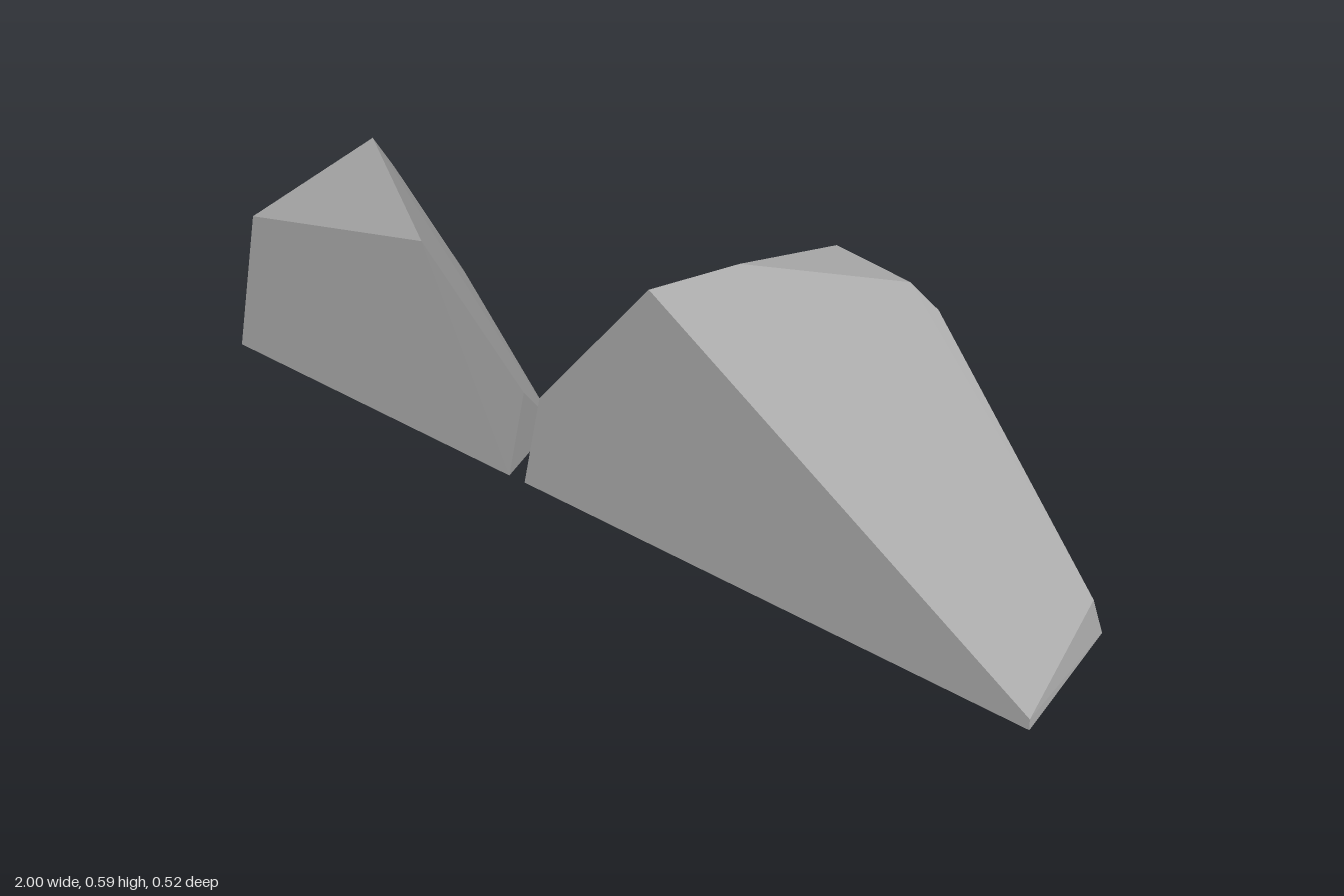
import * as THREE from 'three';
import { ConvexGeometry } from 'three/addons/geometries/ConvexGeometry.js';

const stone = new THREE.MeshStandardMaterial({ color: 0xa8a8a8 });
stone.name = 'grey stone';

// A faceted boulder: the hull around its corners
function boulder(name, corners) {
  const points = corners.map(([x, y, z]) => new THREE.Vector3(x, y, z));
  const mesh = new THREE.Mesh(new ConvexGeometry(points), stone);
  mesh.name = name;
  return mesh;
}

export function createModel() {
  const group = new THREE.Group();
  group.name = 'rocks';

  group.add(boulder('largeRock', [
    // footprint
    [-0.175, 0, 0.257], [-0.205, 0, 0.063], [-0.05, 0, -0.26],
    [0.68, 0, -0.26], [1, 0, -0.045], [1, 0, 0.257],
    // low corners
    [-0.14, 0.23, 0.237], [0.997, 0.025, 0.255], [0.98, 0.095, -0.022],
    // ridge
    [0.115, 0.59, 0.21], [0.2, 0.582, 0.032], [0.265, 0.51, -0.221],
    [0.435, 0.489, -0.222], [0.5, 0.447, -0.225],
  ]));

  group.add(boulder('smallRock', [
    // footprint
    [-1, 0, 0.258], [-0.215, 0, 0.258], [-0.245, 0, 0.067],
    [-0.77, 0, -0.257], [-1, 0, -0.257],
    // upper corners
    [-0.18, 0.226, 0.238], [-0.444, 0.484, 0.221], [-0.93, 0.362, 0.23],
    [-0.928, 0.371, -0.153], [-0.953, 0.238, -0.24],
  ]));

  return group;
}
